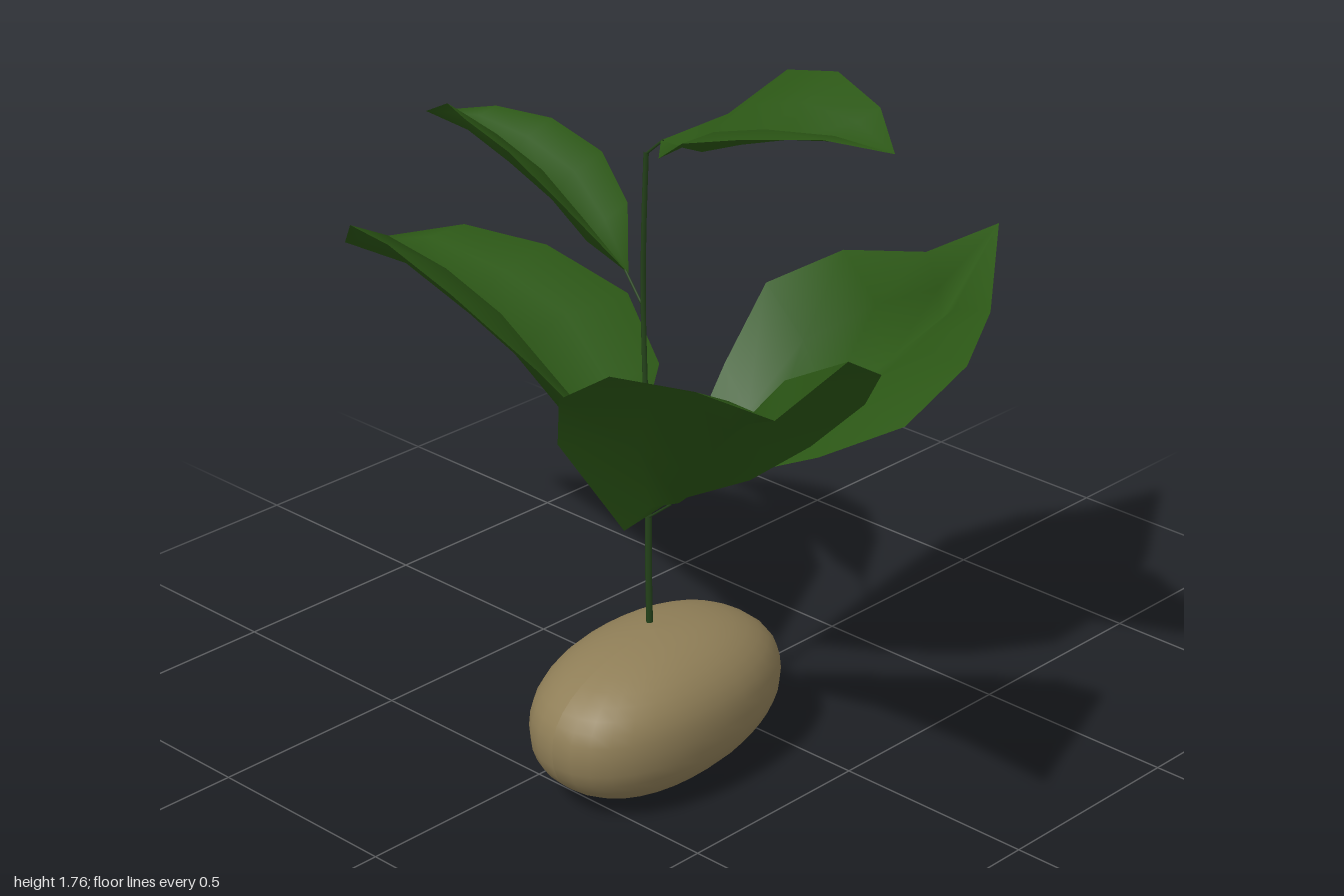
import * as THREE from 'three';

const leafMat = new THREE.MeshStandardMaterial({ color: 0x2b5615, side: THREE.DoubleSide });
const stemMat = new THREE.MeshStandardMaterial({ color: 0x24421a });
const tuberMat = new THREE.MeshStandardMaterial({ color: 0x8f7e57 });

// Line between midrib and edge, arched upwards off the straight fold
function archedLine(rib, edge, side) {
  return edge.map((e, i) => {
    const r = new THREE.Vector3(...rib[i + 1]);
    const along = new THREE.Vector3(...rib[i + 2]).sub(new THREE.Vector3(...rib[i]));
    const across = new THREE.Vector3(...e).sub(r);
    const up = along.cross(across).normalize().multiplyScalar(side * 0.14 * across.length());
    return r.addScaledVector(across, 0.45).add(up).toArray();
  });
}

// Folded blade: a midrib from base to tip with an arched half on each side.
function leaf(name, rib, left, right) {
  const points = [...rib], index = [];
  const last = rib.length - 1;
  const ribLine = rib.map((_, i) => i);
  [[left, 1], [right, -1]].forEach(([edge, side]) => {
    let inner = ribLine;
    [archedLine(rib, edge, side), edge].forEach(line => {
      const outer = [0, ...line.map((_, i) => points.length + i), last];
      points.push(...line);
      const tri = (a, b, c) => {
        if (a !== b && b !== c && a !== c) index.push(...(side > 0 ? [a, b, c] : [a, c, b]));
      };
      for (let i = 0; i < last; i++) {
        tri(inner[i], inner[i + 1], outer[i + 1]);
        tri(inner[i], outer[i + 1], outer[i]);
      }
      inner = outer;
    });
  });
  const geo = new THREE.BufferGeometry();
  geo.setAttribute('position', new THREE.Float32BufferAttribute(points.flat(), 3));
  geo.setIndex(index);
  geo.computeVertexNormals();
  const mesh = new THREE.Mesh(geo, leafMat);
  mesh.name = name;
  return mesh;
}

// Thin stalk through a few points
function stalk(name, points, radius) {
  const curve = new THREE.CatmullRomCurve3(points.map(p => new THREE.Vector3(...p)));
  const mesh = new THREE.Mesh(new THREE.TubeGeometry(curve, points.length * 4, radius, 6), stemMat);
  mesh.name = name;
  return mesh;
}

// Blunt, slightly uneven ellipsoid, shallower underneath at its left end
function tuber() {
  const geo = new THREE.SphereGeometry(1, 32, 20);
  const p = geo.attributes.position;
  const blunt = (v, e) => Math.sign(v) * Math.abs(v) ** e;
  for (let i = 0; i < p.count; i++) {
    const x = p.getX(i), y = p.getY(i), z = p.getZ(i);
    const under = y < 0 ? 1 - 0.12 * x : 1;
    p.setXYZ(i,
      -0.277 + 0.35 * blunt(x, 0.94),
      0.187 + 0.174 * blunt(y, 0.88) * under,
      0.158 + 0.215 * blunt(z, 0.88) - 0.018 * x);
  }
  geo.computeVertexNormals();
  const mesh = new THREE.Mesh(geo, tuberMat);
  mesh.name = 'tuber';
  return mesh;
}

export function createModel() {
  const group = new THREE.Group();
  group.name = 'sproutingPlant';
  group.add(tuber());

  // Main stem: thicker below the first leaves
  group.add(stalk('lowerStem', [[-0.265, 0.33, 0.125], [-0.265, 0.5, 0.122], [-0.26, 0.68, 0.118]], 0.008));
  group.add(stalk('upperStem', [[-0.26, 0.66, 0.118], [-0.256, 0.9, 0.107], [-0.25, 1.13, 0.095],
    [-0.264, 1.32, 0.112], [-0.274, 1.5, 0.13]], 0.006));

  // Leaf stalks
  [
    [[-0.262, 0.62, 0.12], [-0.28, 0.69, 0.21]],
    [[-0.26, 0.67, 0.115], [-0.14, 0.67, 0.09]],
    [[-0.26, 0.67, 0.115], [-0.22, 0.705, 0.02]],
    [[-0.25, 1.12, 0.095], [-0.22, 1.175, 0.01]],
    [[-0.274, 1.495, 0.13], [-0.28, 1.545, 0.19]],
  ].forEach(pts => group.add(stalk('leafStalk', pts, 0.003)));

  // Lower whorl of three large leaves
  group.add(leaf('frontRightLeaf',
    [[-0.28, 0.69, 0.2], [-0.34, 0.74, 0.29], [-0.42, 0.87, 0.41], [-0.49, 0.99, 0.53],
      [-0.57, 1.1, 0.66], [-0.68, 1.21, 0.81], [-0.81, 1.32, 1.0]],
    [[-0.21, 0.78, 0.38], [-0.18, 0.9, 0.53], [-0.2, 1.06, 0.7], [-0.3, 1.2, 0.83], [-0.45, 1.29, 0.87]],
    [[-0.42, 0.67, 0.2], [-0.58, 0.92, 0.16], [-0.69, 1.1, 0.28], [-0.74, 1.23, 0.48], [-0.77, 1.29, 0.75]]));

  group.add(leaf('leftLeaf',
    [[-0.15, 0.67, 0.09], [-0.05, 0.67, 0.14], [0.05, 0.69, 0.19], [0.2, 0.79, 0.24],
      [0.4, 0.83, 0.25], [0.58, 0.87, 0.25], [0.81, 1.05, 0.23]],
    [[-0.05, 0.74, 0.06], [0.08, 0.86, 0.03], [0.25, 1.0, 0], [0.45, 1.04, 0.06], [0.63, 1.01, 0.16]],
    [[-0.1, 0.7, 0.22], [-0.02, 0.78, 0.41], [0.12, 0.85, 0.54], [0.33, 0.93, 0.54], [0.53, 0.97, 0.44]]));

  group.add(leaf('backLeaf',
    [[-0.22, 0.7, 0.03], [-0.21, 0.75, -0.19], [-0.2, 0.85, -0.37], [-0.19, 0.9, -0.53],
      [-0.18, 0.96, -0.76], [-0.16, 0.94, -1.0]],
    [[-0.34, 0.92, -0.15], [-0.43, 1.08, -0.33], [-0.41, 1.13, -0.56], [-0.34, 1.1, -0.77]],
    [[0.04, 0.82, -0.14], [0.12, 0.92, -0.32], [0.08, 0.99, -0.55], [0, 1.01, -0.75]]));

  // Two smaller leaves higher up
  group.add(leaf('upperBackLeaf',
    [[-0.22, 1.17, 0.02], [-0.22, 1.21, -0.11], [-0.22, 1.28, -0.22], [-0.215, 1.33, -0.36],
      [-0.21, 1.37, -0.5], [-0.21, 1.38, -0.64]],
    [[-0.32, 1.33, -0.08], [-0.355, 1.43, -0.21], [-0.34, 1.465, -0.37], [-0.28, 1.455, -0.49]],
    [[-0.1, 1.27, -0.1], [-0.06, 1.35, -0.22], [-0.08, 1.4, -0.36], [-0.13, 1.41, -0.49]]));

  group.add(leaf('topFrontLeaf',
    [[-0.28, 1.54, 0.18], [-0.29, 1.55, 0.31], [-0.3, 1.6, 0.43], [-0.31, 1.65, 0.57],
      [-0.32, 1.69, 0.73], [-0.32, 1.7, 0.87]],
    [[-0.22, 1.62, 0.32], [-0.18, 1.74, 0.45], [-0.19, 1.775, 0.6], [-0.24, 1.75, 0.76]],
    [[-0.4, 1.56, 0.29], [-0.475, 1.65, 0.43], [-0.46, 1.69, 0.57], [-0.39, 1.715, 0.74]]));

  return group;
}
